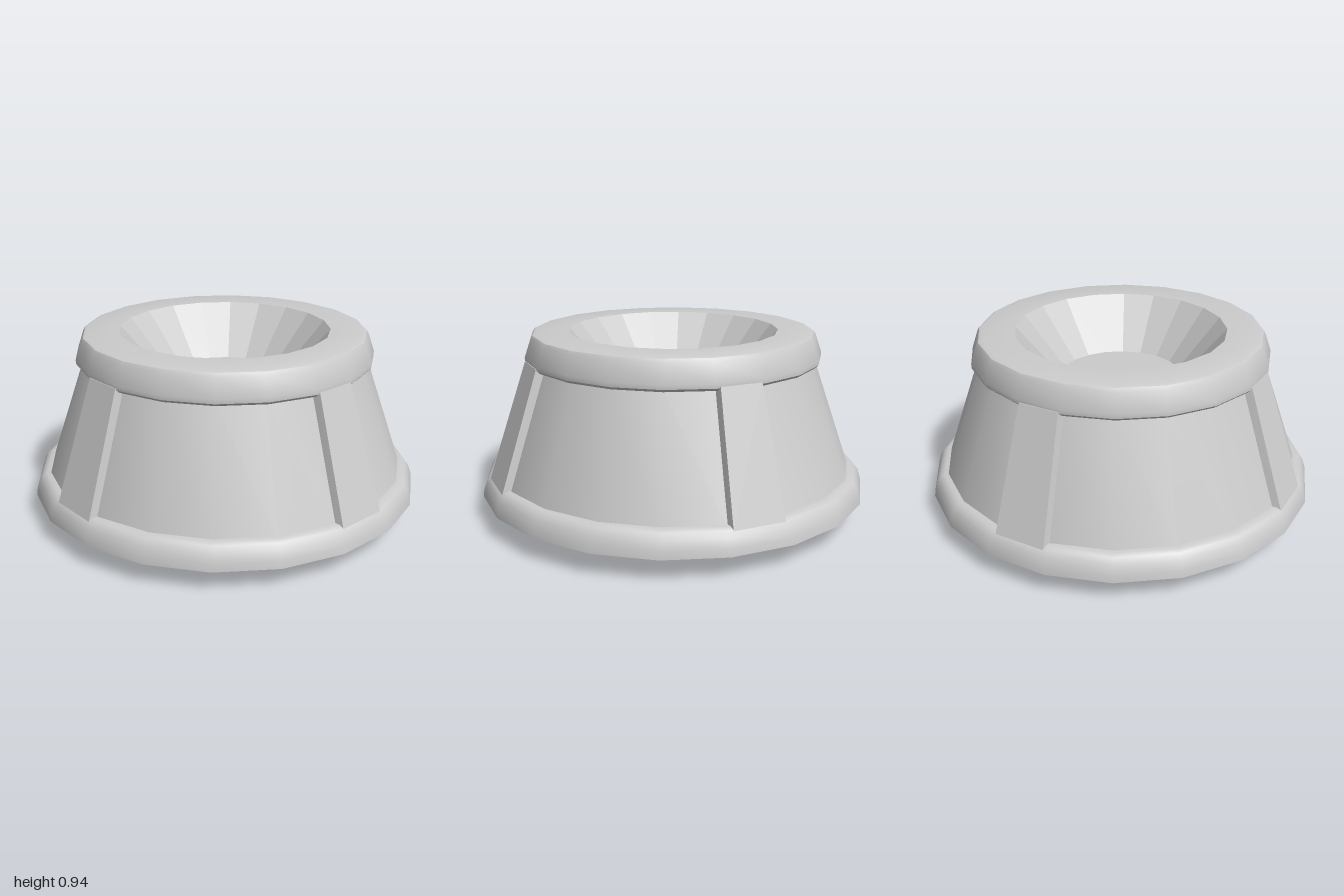
import * as THREE from 'three';
import { toCreasedNormals } from 'three/addons/utils/BufferGeometryUtils.js';

const SIDES = 20;
const grey = new THREE.MeshStandardMaterial({ color: 0xcccccc });
const greyFlat = new THREE.MeshStandardMaterial({ color: 0xcccccc, flatShading: true });

// Revolves [radius, height] points; the path runs so that faces look outward.
function ring(name, points, material = grey) {
  const profile = points.map(([r, y]) => new THREE.Vector2(r, y));
  const geometry = toCreasedNormals(new THREE.LatheGeometry(profile, SIDES), 0.65);
  const mesh = new THREE.Mesh(geometry, material);
  mesh.name = name;
  return mesh;
}

// Sloping rib with bevelled sides: a box whose corners follow the cone of the wall.
function rib(angle) {
  const geometry = new THREE.BoxGeometry(1, 1, 1);
  const pos = geometry.attributes.position;
  const rad = THREE.MathUtils.degToRad;
  for (let i = 0; i < pos.count; i++) {
    const top = pos.getY(i) > 0;
    const outer = pos.getZ(i) > 0;
    const radius = (top ? 0.762 : 0.966) - (outer ? 0 : 0.05);
    const half = rad(outer ? 7.8 : 8.9);
    pos.setXYZ(i, Math.sign(pos.getX(i)) * radius * Math.sin(half), top ? 0.81 : 0.21, radius * Math.cos(rad(9)));
  }
  geometry.computeVertexNormals();
  const mesh = new THREE.Mesh(geometry, grey);
  mesh.name = 'rib';
  mesh.rotation.y = angle;
  return mesh;
}

export function createModel() {
  const model = new THREE.Group();
  model.name = 'bowl';

  // Shallow domed underside
  model.add(ring('underside', [[0, 0], [0.25, 0.01], [0.5, 0.027], [0.75, 0.058], [0.92, 0.095], [1, 0.115]]));

  // Rounded foot ring
  model.add(ring('footRing', [[1, 0.115], [0.995, 0.15], [0.98, 0.195], [0.96, 0.222], [0.94, 0.232], [0.915, 0.234]]));

  // Recessed wall panels
  model.add(ring('wallPanels', [[0.922, 0.228], [0.724, 0.795]]));

  // Rounded upper lip and flat rim
  model.add(ring('lip', [
    [0.72, 0.787], [0.745, 0.79], [0.758, 0.803], [0.759, 0.825],
    [0.728, 0.915], [0.718, 0.932], [0.7, 0.938], [0.535, 0.938],
  ]));

  // Faceted hollow with a flat floor
  model.add(ring('hollow', [[0.535, 0.938], [0.315, 0.68]], greyFlat));
  model.add(ring('hollowFloor', [[0.315, 0.68], [0, 0.68]]));

  // Four ribs between the panels
  for (let i = 0; i < 4; i++) model.add(rib(THREE.MathUtils.degToRad(-27 + 90 * i)));

  return model;
}
